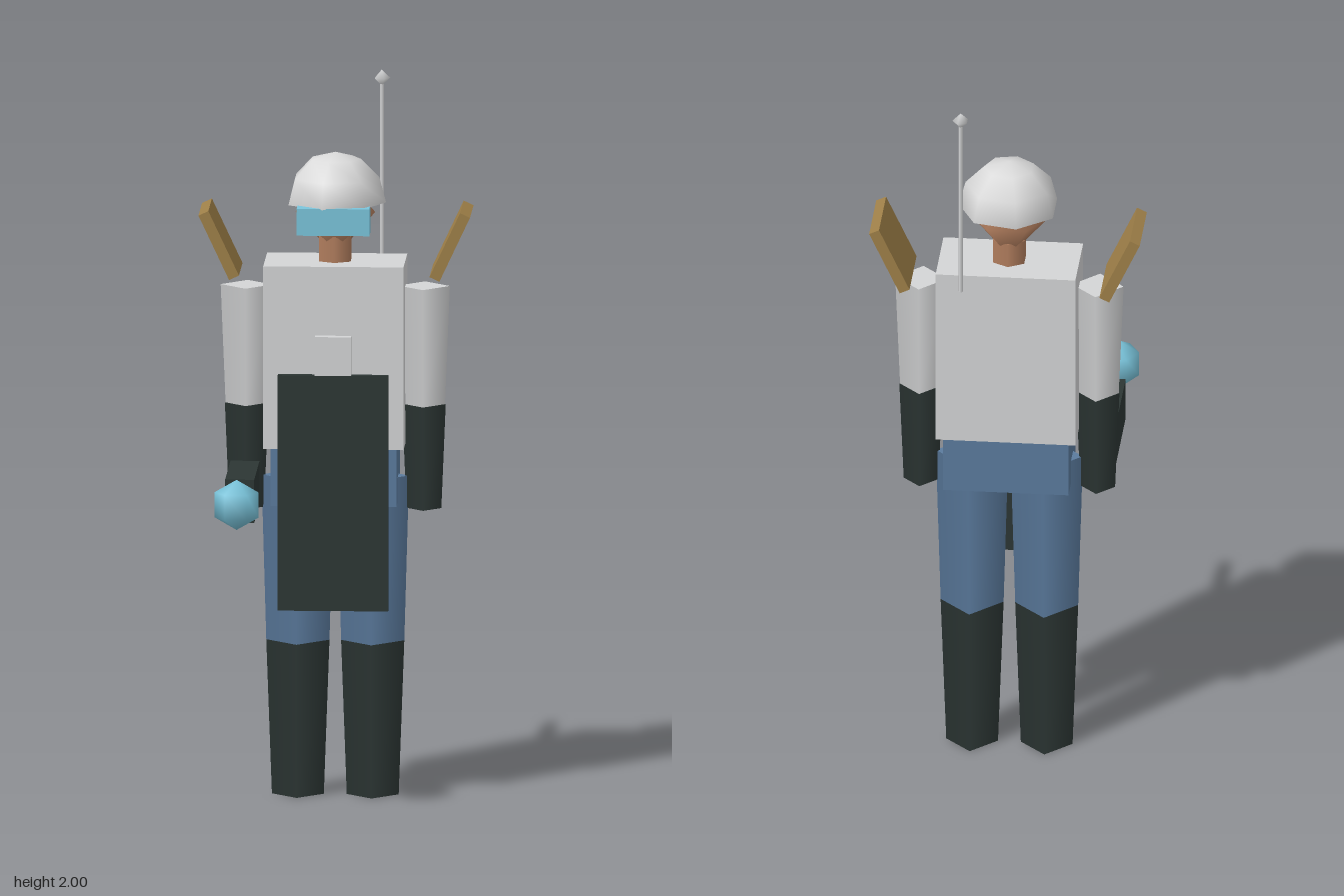
import * as THREE from 'three';

const material = (name, color) => {
  const m = new THREE.MeshStandardMaterial({ color });
  m.name = name;
  return m;
};

export function createModel() {
  const pale = material('pale grey', 0xd4d5d6);
  const denim = material('denim blue', 0x5b7b9e);
  const dark = material('dark green grey', 0x2c3634);
  const skin = material('skin', 0xb27e5e);
  const brass = material('brass', 0x9f8048);
  const cyan = material('cyan', 0x7ac5dc);
  const shell = material('helmet grey', 0xdadada);
  shell.side = THREE.DoubleSide;

  const root = new THREE.Group();
  root.name = 'armouredFigure';
  const Z = -0.2245; // body centre line

  const add = (name, geometry, mat, x, y, z) => {
    const mesh = new THREE.Mesh(geometry, mat);
    mesh.name = name;
    mesh.position.set(x, y, z);
    root.add(mesh);
    return mesh;
  };
  // Box given by its lower and upper corners
  const box = (name, mat, [x0, y0, z0], [x1, y1, z1]) =>
    add(name, new THREE.BoxGeometry(x1 - x0, y1 - y0, z1 - z0), mat,
      (x0 + x1) / 2, (y0 + y1) / 2, (z0 + z1) / 2);
  // Upright tapered limb between two heights
  const limb = (name, mat, x, y0, y1, r0, r1, sides = 4, z = Z) =>
    add(name, new THREE.CylinderGeometry(r1, r0, y1 - y0, sides), mat, x, (y0 + y1) / 2, z);

  // Body
  box('torso', pale, [-0.193, 0.98, -0.337], [0.193, 1.49, -0.112]);
  box('pelvis', denim, [-0.173, 0.82, -0.327], [0.173, 0.98, -0.122]);

  // Arms, legs and raised shoulder plates
  for (const s of [-1, 1]) {
    const side = s > 0 ? 'left' : 'right';
    limb(side + 'UpperArm', pale, s * 0.244, 1.09, 1.42, 0.058, 0.0715);
    limb(side + 'Forearm', dark, s * 0.244, 0.8, 1.09, 0.048, 0.06);
    limb(side + 'Thigh', denim, s * 0.103, 0.43, 0.89, 0.087, 0.1);
    limb(side + 'Boot', dark, s * 0.103, 0, 0.43, 0.0715, 0.087);
    const plate = add(side + 'ShoulderPlate', new THREE.BoxGeometry(0.03, 0.198, 0.204),
      brass, s * 0.318, 1.538, -0.265);
    plate.rotation.z = -s * 0.44;
  }

  // Head, visor and helmet
  limb('neck', skin, 0, 1.47, 1.56, 0.05, 0.05, 6);
  const head = add('head', new THREE.SphereGeometry(0.11, 6, 2), skin, 0, 1.625, Z);
  head.scale.y = 1.15;
  box('visor', cyan, [-0.1, 1.58, -0.148], [0.1, 1.655, -0.091]);
  const helmet = add('helmet',
    new THREE.SphereGeometry(0.14, 7, 3, 0, Math.PI * 2, 0, Math.PI / 2), shell, 0, 1.652, Z);
  helmet.rotation.y = Math.PI;

  // Antenna on the back
  limb('antennaRod', pale, 0.122, 1.45, 1.975, 0.006, 0.006, 5, -0.355);
  const tip = add('antennaTip', new THREE.SphereGeometry(0.023, 5, 2), pale, 0.122, 1.977, -0.355);
  tip.rotation.y = Math.PI;

  // Front apron and its clip
  box('apron', dark, [-0.152, 0.533, -0.112], [0.152, 1.19, -0.092]);
  box('apronClip', pale, [-0.05, 1.19, -0.112], [0.05, 1.298, -0.087]);

  // Hand-held blaster and its energy ball
  box('blaster', dark, [-0.285, 0.82, -0.152], [-0.205, 0.94, 0.152]);
  add('energyBall', new THREE.SphereGeometry(0.07, 6, 3), cyan, -0.245, 0.9, 0.326);

  return root;
}
